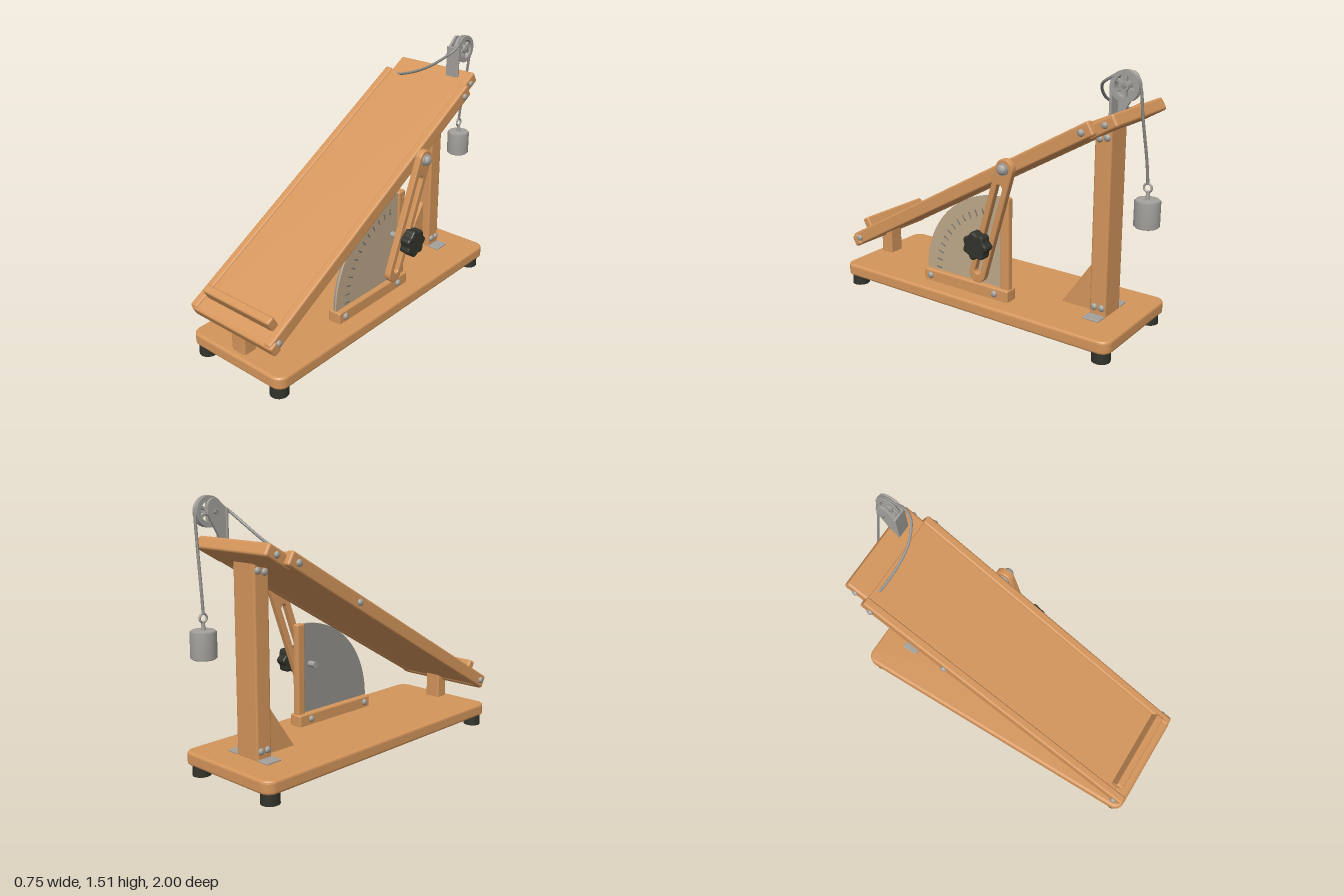
import * as THREE from 'three';
import { RoundedBoxGeometry } from 'three/addons/geometries/RoundedBoxGeometry.js';

const mat = (name, color) => {
  const m = new THREE.MeshStandardMaterial({ color });
  m.name = name;
  return m;
};

export function createModel() {
  const wood = mat('wood', 0xd4955b);
  const rubber = mat('black rubber', 0x33332c);
  const steel = mat('steel', 0xa3a09b);
  const cordGrey = mat('cord grey', 0x8e8d89);
  const dial = mat('dial tan', 0xbda789);
  const dialBack = mat('dial back grey', 0x92908c);
  const ink = mat('tick grey', 0x77746c);

  const model = new THREE.Group();
  model.name = 'inclinedPlane';
  const add = (name, geo, material, parent = model) => {
    const m = new THREE.Mesh(geo, material);
    m.name = name;
    parent.add(m);
    return m;
  };
  // Box given by its minimum and maximum on each axis
  const box = (name, x0, x1, y0, y1, z0, z1, material = wood, r = 0.012, parent = model) => {
    const d = [x1 - x0, y1 - y0, z1 - z0];
    const m = add(name, new RoundedBoxGeometry(...d, 2, Math.min(r, Math.min(...d) * 0.45)), material, parent);
    m.position.set((x0 + x1) / 2, (y0 + y1) / 2, (z0 + z1) / 2);
    return m;
  };
  // Cylinder along the x axis
  const rod = (name, x0, x1, y, z, r, material, parent = model) => {
    const m = add(name, new THREE.CylinderGeometry(r, r, x1 - x0, 20).rotateZ(Math.PI / 2), material, parent);
    m.position.set((x0 + x1) / 2, y, z);
    return m;
  };
  const bolt = (x, y, z, r = 0.02, parent = model) => {
    const m = add('boltHead', new THREE.SphereGeometry(r, 12, 8).scale(0.75, 1, 1), steel, parent);
    m.position.set(x, y, z);
  };
  // Side profile drawn as (-z, y), thickened from x0 to x1
  const sideExtrude = (shape, x0, x1, bevel = 0) => new THREE.ExtrudeGeometry(shape, {
    depth: x1 - x0 - 2 * bevel, curveSegments: 24, bevelEnabled: bevel > 0,
    bevelSize: bevel, bevelThickness: bevel, bevelOffset: -bevel, bevelSegments: 2,
  }).rotateY(Math.PI / 2).translate(x0 + bevel, 0, 0);
  // Upright capsule outline between heights a and b
  const capsule = (Type, a, b, r) => {
    const p = new Type();
    p.absarc(0, b, r, 0, Math.PI, false);
    p.absarc(0, a, r, Math.PI, 2 * Math.PI, false);
    p.closePath();
    return p;
  };

  // Base board with rounded corners, and four feet
  const plan = new THREE.Shape();
  const corners = [[0.265, 0.94, 0], [-0.305, 0.94, 1], [-0.305, -0.82, 2], [0.265, -0.82, 3]];
  corners.forEach(([x, z, i]) => plan.absarc(x, z, 0.06, i * Math.PI / 2, (i + 1) * Math.PI / 2, false));
  plan.closePath();
  add('baseBoard', new THREE.ExtrudeGeometry(plan, {
    depth: 0.045, bevelSize: 0.015, bevelThickness: 0.015, bevelOffset: -0.015, bevelSegments: 3, curveSegments: 6,
  }).rotateX(Math.PI / 2).translate(0, 0.125, 0), wood);
  for (const x of [-0.3, 0.255]) for (const z of [0.94, -0.81]) {
    add('foot', new THREE.CylinderGeometry(0.05, 0.052, 0.075, 24), rubber).position.set(x, 0.0375, z);
  }

  // Rear post, gusset, brackets and front hinge block
  box('rearPost', -0.105, 0.06, 0.13, 1.2, -0.72, -0.62);
  const gusset = new THREE.Shape([[0.41, 0.135], [0.63, 0.135], [0.63, 0.455]].map(p => new THREE.Vector2(...p)));
  add('gusset', sideExtrude(gusset, -0.055, 0.01), wood);
  for (const s of [-1, 1]) {
    const x = -0.0225 + s * 0.0825;
    box('bracketFoot', Math.min(x, x + s * 0.075), Math.max(x, x + s * 0.075), 0.138, 0.149, -0.72, -0.62, steel);
    for (const [y, z] of [[0.19, -0.65], [0.19, -0.695], [1.13, -0.65], [1.14, -0.695]]) bolt(x, y, z);
  }
  box('hingeBlock', -0.07, 0.03, 0.13, 0.3, 0.88, 0.965);

  // Sloping ramp: local -z runs uphill, local y is its normal
  const ramp = new THREE.Group();
  ramp.name = 'ramp';
  ramp.position.set(0, 0.755, 0.13);
  ramp.rotation.x = 0.515;
  model.add(ramp);
  box('deck', -0.315, 0.21, -0.035, 0.032, -0.955, 0.965, wood, 0.008, ramp);
  box('rightRail', -0.36, -0.31, -0.04, 0.04, -0.96, 0.97, wood, 0.012, ramp);
  box('leftRail', 0.205, 0.255, -0.04, 0.04, -0.96, 0.97, wood, 0.012, ramp);
  box('frontEndBoard', -0.35, 0.265, -0.042, 0.03, 0.925, 0.98, wood, 0.014, ramp);
  box('endStop', -0.3, 0.205, 0.0, 0.1, 0.84, 0.89, wood, 0.012, ramp);
  box('topExtension', -0.325, 0.22, -0.052, 0.02, -1.085, -0.9, wood, 0.014, ramp);
  for (const x of [-0.362, 0.257]) for (const z of [-0.9, 0.92, -0.395]) bolt(x, 0, z, 0.02, ramp);
  for (const x of [-0.326, 0.221]) bolt(x, -0.015, -1.02, 0.018, ramp);

  // Protractor quadrant with its wooden mount
  box('protractorBase', 0.135, 0.22, 0.13, 0.21, -0.18, 0.43);
  box('protractorUpright', 0.155, 0.2, 0.2, 0.75, -0.175, -0.115);
  const quadrant = new THREE.Shape();
  quadrant.moveTo(0.12, 0.2);
  quadrant.lineTo(0.12, 0.745);
  quadrant.absarc(0.11, 0.21, 0.535, Math.PI / 2, Math.PI, false);
  quadrant.lineTo(-0.425, 0.2);
  quadrant.closePath();
  add('protractorFace', sideExtrude(quadrant, 0.18, 0.19), dial);
  add('protractorBack', sideExtrude(quadrant, 0.17, 0.18), dialBack);
  for (let i = 0; i <= 12; i++) {
    const a = 0.04 + i * 0.115;
    const t = box('angleTick', -0.002, 0.002, -0.004, 0.004, -0.02, 0.02, ink);
    t.position.set(0.191, 0.21 + 0.445 * Math.sin(a), -0.11 + 0.445 * Math.cos(a));
    t.rotation.x = -a;
  }
  for (const z of [0.38, -0.09]) for (const x of [0.133, 0.222]) bolt(x, 0.175, z);

  // Slotted strut, pinned to the ramp
  const strutShape = capsule(THREE.Shape, 0, 0.69, 0.055);
  strutShape.holes.push(capsule(THREE.Path, 0.02, 0.57, 0.02));
  const strut = add('slottedStrut', sideExtrude(strutShape, -0.02, 0.02, 0.006), wood);
  strut.position.set(0.25, 0.295, -0.005);
  strut.rotation.set(-0.315, 0, -0.05);
  rod('pivotPin', 0.24, 0.315, 0.95, -0.215, 0.034, steel);
  bolt(0.316, 0.95, -0.215, 0.03);

  // Lobed clamping knob and its shaft
  const lobes = new THREE.Shape(Array.from({ length: 70 }, (_, i) => {
    const a = i / 70 * Math.PI * 2, r = 0.076 + 0.007 * Math.cos(7 * a);
    return new THREE.Vector2(0.065 + r * Math.cos(a), 0.5 + r * Math.sin(a));
  }));
  add('knob', sideExtrude(lobes, 0.305, 0.372, 0.01), rubber);
  rod('knobCollar', 0.275, 0.31, 0.5, -0.065, 0.035, rubber);
  rod('knobShaft', 0.12, 0.3, 0.5, -0.065, 0.018, steel);

  // Pulley bracket
  box('bracketPlate', 0.055, 0.142, 1.26, 1.45, -0.755, -0.74, steel, 0.004);
  const cheek = new THREE.Shape();
  cheek.moveTo(0.742, 1.27);
  cheek.lineTo(0.79, 1.29);
  cheek.lineTo(0.865, 1.42);
  cheek.absarc(0.82, 1.455, 0.045, 0, Math.PI * 0.6, false);
  cheek.lineTo(0.742, 1.44);
  cheek.closePath();
  add('bracketCheek', sideExtrude(cheek, 0.06, 0.075), steel);

  // Spoked pulley wheel with a grooved rim
  const wheel = new THREE.Group();
  wheel.name = 'pulleyWheel';
  wheel.position.set(0.122, 1.43, -0.82);
  model.add(wheel);
  const rim = [[0.055, -0.018], [0.08, -0.018], [0.08, -0.011], [0.068, 0], [0.08, 0.011], [0.08, 0.018], [0.055, 0.018], [0.055, -0.018]];
  const rimMesh = add('rim', new THREE.LatheGeometry(rim.map(p => new THREE.Vector2(...p)), 40).rotateZ(Math.PI / 2), steel, wheel);
  rimMesh.geometry = rimMesh.geometry.toNonIndexed();
  rimMesh.geometry.computeVertexNormals();
  rod('hub', -0.022, 0.022, 0, 0, 0.024, steel, wheel);
  rod('axle', -0.075, 0.03, 0, 0, 0.011, cordGrey, wheel);
  for (let i = 0; i < 6; i++) {
    const g = new THREE.BoxGeometry(0.018, 0.05, 0.014).translate(0, 0.037, 0).rotateX(i * Math.PI / 3);
    add('spoke', g, steel, wheel);
  }

  // Cord from the deck, over the pulley and down to the weight
  const path = [
    [-0.29, 1.225, -0.675], [-0.2, 1.25, -0.655], [-0.08, 1.295, -0.645], [0.03, 1.355, -0.65],
    [0.12, 1.43, -0.69], [0.138, 1.465, -0.74], [0.124, 1.49, -0.78], [0.122, 1.504, -0.82],
    [0.121, 1.483, -0.872], [0.118, 1.43, -0.898], [0.1, 1.28, -0.908], [0.06, 1.05, -0.922], [0.045, 0.93, -0.926],
  ];
  add('cord', new THREE.TubeGeometry(new THREE.CatmullRomCurve3(path.map(p => new THREE.Vector3(...p))), 90, 0.008, 8), cordGrey);

  // Hanging weight with hook
  const ring = add('hookRing', new THREE.TorusGeometry(0.022, 0.006, 8, 20).rotateY(Math.PI / 2), steel);
  ring.position.set(0.045, 0.912, -0.927);
  add('hookStem', new THREE.CylinderGeometry(0.008, 0.014, 0.055, 12), steel).position.set(0.045, 0.868, -0.929);
  const profile = [[0, 0.705], [0.06, 0.705], [0.068, 0.712], [0.068, 0.843], [0.06, 0.852], [0, 0.852]];
  const weight = new THREE.LatheGeometry(profile.map(p => new THREE.Vector2(...p)), 32);
  add('weight', weight, steel).position.set(0.045, 0, -0.93);

  return model;
}
